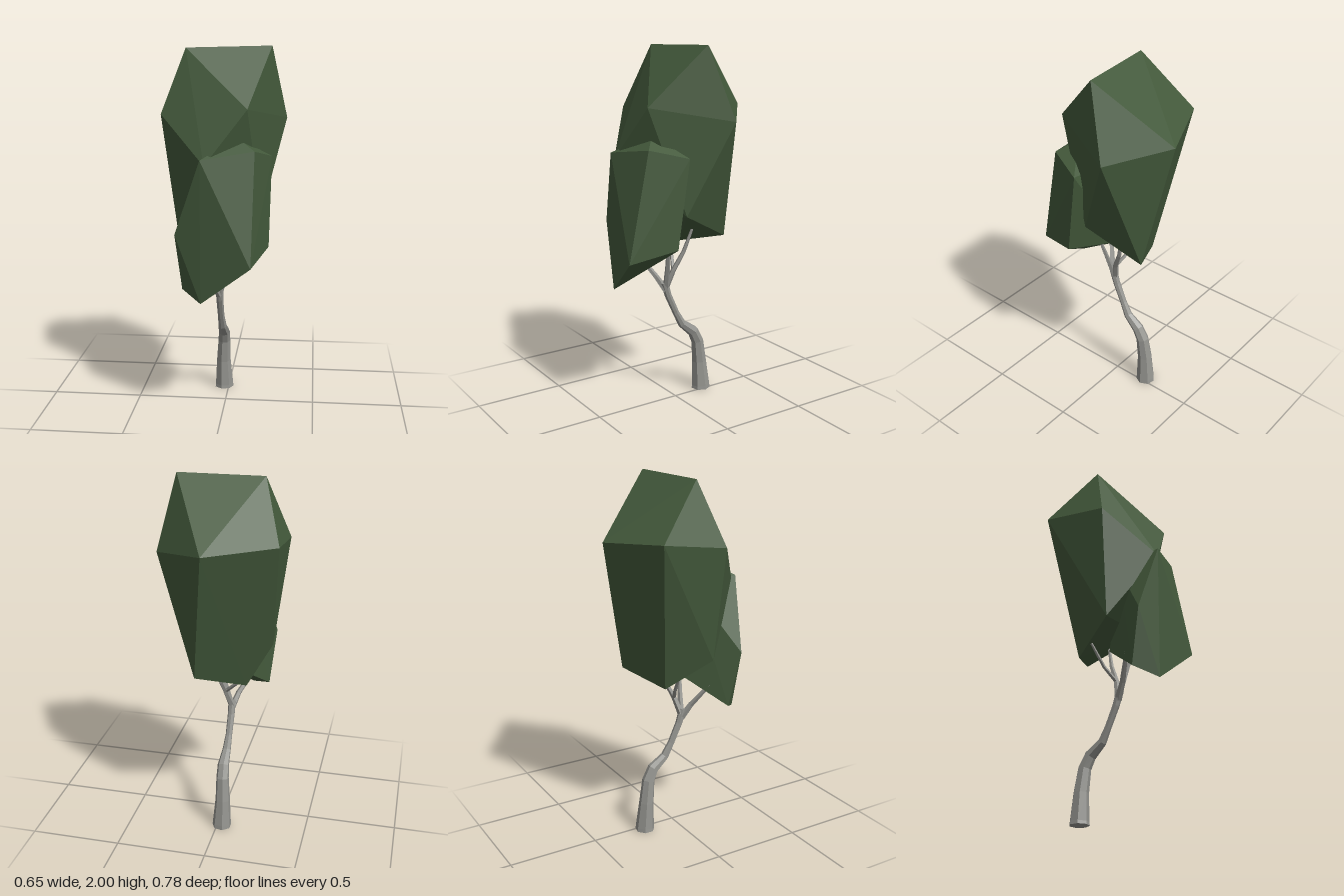
import * as THREE from 'three';
import { ConvexGeometry } from 'three/addons/geometries/ConvexGeometry.js';

const leaf = new THREE.MeshStandardMaterial({ name: 'leaf green', color: 0x43593b, flatShading: true });
const bark = new THREE.MeshStandardMaterial({ name: 'bark grey', color: 0x959590, flatShading: true });

// Faceted leaf mass from its corner points
function crown(name, corners) {
  const mesh = new THREE.Mesh(new ConvexGeometry(corners.map((c) => new THREE.Vector3(...c))), leaf);
  mesh.name = name;
  return mesh;
}

// Tapered limb: each station is [x, y, z, radius]; both ends are capped
function limb(name, stations, sides) {
  const centres = stations.map(([x, y, z]) => new THREE.Vector3(x, y, z));
  const last = stations.length - 1;
  const positions = [];
  const index = [];
  centres.forEach((c, i) => {
    const t = centres[Math.min(i + 1, last)].clone().sub(centres[Math.max(i - 1, 0)]).normalize();
    const u = new THREE.Vector3(1, 0, 0).addScaledVector(t, -t.x).normalize();
    const v = t.clone().cross(u);
    for (let k = 0; k < sides; k++) {
      const a = (k / sides) * Math.PI * 2;
      const p = c.clone()
        .addScaledVector(u, Math.cos(a) * stations[i][3])
        .addScaledVector(v, Math.sin(a) * stations[i][3]);
      positions.push(p.x, p.y, p.z);
    }
  });
  for (let i = 0; i < last; i++) {
    for (let k = 0; k < sides; k++) {
      const a = i * sides + k;
      const b = i * sides + ((k + 1) % sides);
      index.push(a, b, b + sides, a, b + sides, a + sides);
    }
  }
  const top = last * sides;
  for (let k = 1; k < sides - 1; k++) {
    index.push(0, k + 1, k, top, top + k, top + k + 1);
  }
  const geometry = new THREE.BufferGeometry();
  geometry.setAttribute('position', new THREE.Float32BufferAttribute(positions, 3));
  geometry.setIndex(index);
  const flat = geometry.toNonIndexed();
  flat.computeVertexNormals();
  const mesh = new THREE.Mesh(flat, bark);
  mesh.name = name;
  return mesh;
}

export function createModel() {
  const tree = new THREE.Group();
  tree.name = 'tree';

  // Tall rear leaf mass
  tree.add(crown('mainCrown', [
    [0.245, 2.0, -0.035], [-0.21, 1.99, 0.02],
    [-0.33, 1.70, -0.24], [0.035, 1.67, -0.39], [0.325, 1.61, -0.16],
    [0.135, 1.69, 0.26], [-0.33, 1.65, 0.13], [-0.08, 1.41, 0.335],
    [-0.25, 1.03, 0.11], [0.11, 0.95, -0.25], [-0.15, 0.88, -0.13], [0.2, 1.11, 0.06],
  ]));

  // Smaller leaf mass hanging in front
  tree.add(crown('frontCrown', [
    [-0.1, 1.44, 0.345], [0.175, 1.48, 0.28], [0.08, 1.54, 0.2], [0.255, 1.43, 0.08],
    [-0.24, 1.04, 0.30], [0.165, 0.89, 0.395], [0.245, 0.95, 0.145],
    [-0.1, 0.68, 0.34], [-0.21, 0.73, 0.24], [0, 0.95, -0.03], [-0.08, 1.4, 0.08],
  ]));

  // Crooked trunk with a forward kink
  tree.add(limb('trunk', [
    [-0.027, 0, -0.195, 0.055], [-0.027, 0.02, -0.195, 0.053], [-0.03, 0.17, -0.185, 0.042],
    [-0.025, 0.3, -0.168, 0.036], [-0.022, 0.365, -0.135, 0.033], [-0.024, 0.425, -0.06, 0.024],
    [-0.028, 0.5, -0.02, 0.019], [-0.03, 0.61, 0.03, 0.02], [-0.03, 0.69, 0.055, 0.022],
  ], 7));

  // Branches reaching into the leaves
  const branches = {
    middleBranch: [[-0.03, 0.65, 0.045, 0.018], [0.01, 0.78, 0.06, 0.014], [0.06, 0.95, 0.085, 0.008]],
    rearBranch: [[-0.03, 0.66, 0.045, 0.02], [0.0, 0.76, 0.015, 0.015], [0.03, 0.87, -0.035, 0.012], [0.06, 1.0, -0.07, 0.008]],
    frontBranch: [[-0.03, 0.64, 0.045, 0.02], [-0.06, 0.72, 0.09, 0.016], [-0.14, 0.85, 0.165, 0.01]],
    sideTwig: [[0.0, 0.76, 0.015, 0.012], [-0.07, 0.83, -0.02, 0.01], [-0.17, 0.96, -0.05, 0.007]],
  };
  for (const [name, stations] of Object.entries(branches)) tree.add(limb(name, stations, 5));

  return tree;
}
